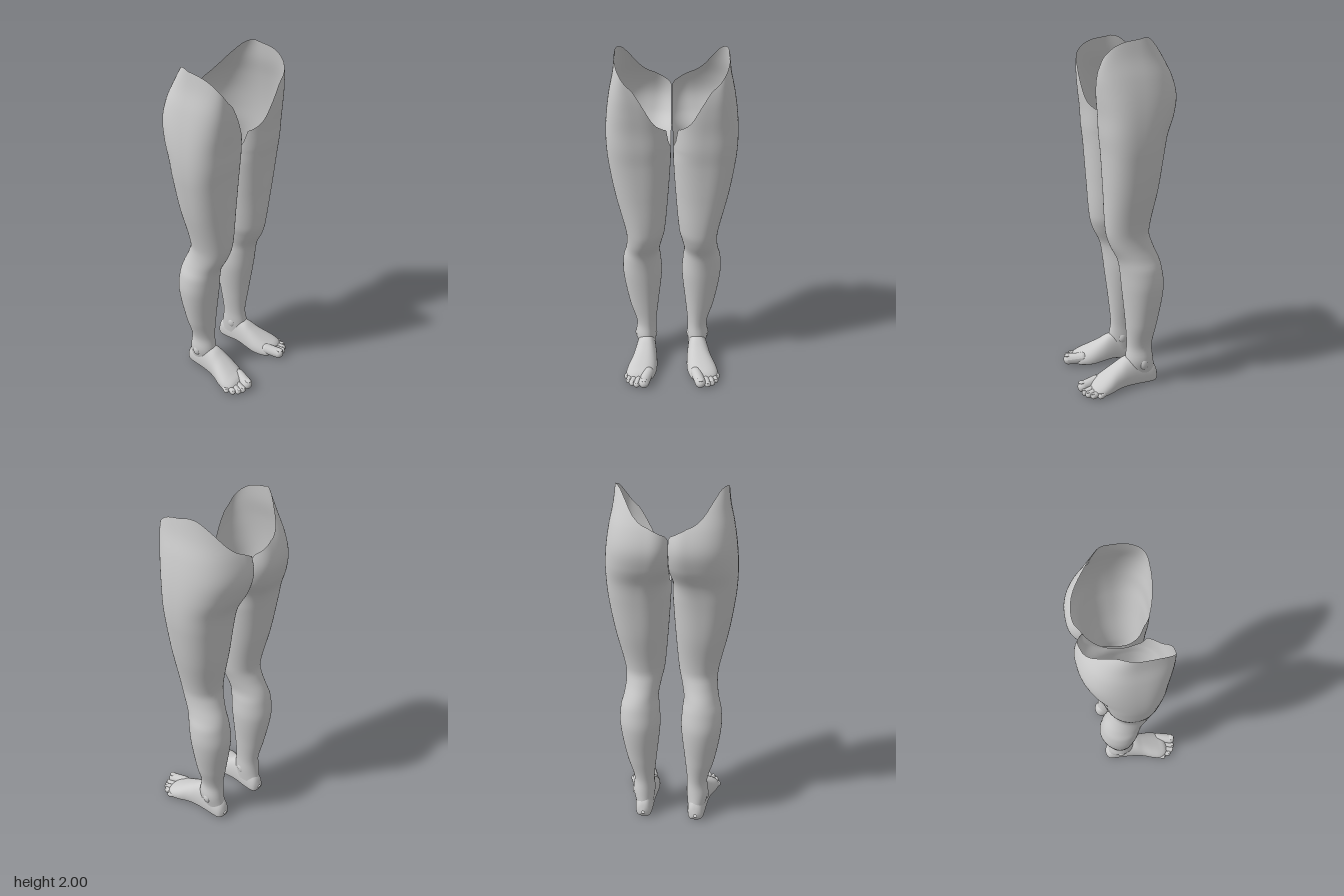
import * as THREE from 'three';

// Leg outline by height: y, inner x, outer x, front z, back z, x of front, x of back, z of sides
const LEG = [
  [0.08, 0.105, 0.215, -0.01, -0.19, 0.16, 0.16, -0.1],
  [0.16, 0.1, 0.23, -0.01, -0.178, 0.16, 0.165, -0.1],
  [0.25, 0.1, 0.222, -0.02, -0.17, 0.155, 0.16, -0.1],
  [0.4, 0.085, 0.262, -0.01, -0.195, 0.16, 0.17, -0.1],
  [0.62, 0.062, 0.297, 0.015, -0.226, 0.17, 0.18, -0.1],
  [0.74, 0.068, 0.292, 0.03, -0.212, 0.175, 0.18, -0.09],
  [0.8, 0.074, 0.276, 0.045, -0.195, 0.175, 0.175, -0.07],
  [0.88, 0.06, 0.265, 0.085, -0.16, 0.17, 0.165, -0.04],
  [0.96, 0.042, 0.268, 0.107, -0.14, 0.165, 0.16, -0.02],
  [1.2, 0.02, 0.32, 0.12, -0.18, 0.175, 0.17, -0.02],
  [1.4, 0.007, 0.35, 0.13, -0.205, 0.18, 0.17, -0.02],
  [1.5, 0.004, 0.357, 0.14, -0.225, 0.18, 0.15, -0.02],
  [1.6, -0.03, 0.355, 0.145, -0.268, 0.185, 0.115, -0.02],
  [1.7, -0.04, 0.345, 0.155, -0.287, 0.195, 0.1, -0.02],
  [1.8, -0.03, 0.328, 0.16, -0.262, 0.215, 0.1, -0.02],
  [1.9, -0.01, 0.305, 0.152, -0.205, 0.24, 0.11, -0.02],
  [2.0, 0, 0.292, 0.12, -0.13, 0.25, 0.14, -0.02],
];

// Open waist edge: angle (0 outer, 90 back, 180 inner, 270 front), height
const RIM = [
  [0, 1.99], [20, 2], [45, 1.985], [60, 1.94], [75, 1.87], [90, 1.82], [110, 1.79],
  [130, 1.76], [140, 1.69], [150, 1.57], [165, 1.51], [180, 1.48], [195, 1.5],
  [207, 1.54], [214, 1.6], [222, 1.61], [240, 1.64], [250, 1.68], [260, 1.76],
  [270, 1.86], [300, 1.93], [330, 1.97], [360, 1.99],
];

// Foot outline from heel to ball: z, inner x, outer x, top y, sole y
const FOOT = [
  [-0.207, 0.15, 0.17, 0.055, 0.04],
  [-0.2, 0.13, 0.19, 0.085, 0.016],
  [-0.18, 0.115, 0.205, 0.12, 0.006],
  [-0.13, 0.108, 0.215, 0.16, 0.004],
  [-0.06, 0.104, 0.225, 0.185, 0.006],
  [0, 0.098, 0.236, 0.175, 0.008],
  [0.05, 0.094, 0.25, 0.145, 0.008],
  [0.11, 0.094, 0.275, 0.11, 0.004],
  [0.16, 0.105, 0.285, 0.083, 0.004],
  [0.2, 0.125, 0.27, 0.062, 0.008],
  [0.22, 0.16, 0.235, 0.04, 0.02],
];

// Toes: base x, base z, tip x, tip z, radius
const TOES = [
  [0.148, 0.17, 0.172, 0.252, 0.033],
  [0.198, 0.18, 0.217, 0.253, 0.02],
  [0.222, 0.17, 0.245, 0.24, 0.019],
  [0.242, 0.15, 0.267, 0.216, 0.018],
  [0.258, 0.13, 0.28, 0.177, 0.017],
];

// Smooth interpolation of table rows by their first column
function sample(rows, t) {
  let i = 0;
  while (i < rows.length - 2 && t > rows[i + 1][0]) i++;
  const a = rows[i], b = rows[i + 1];
  const p = rows[Math.max(i - 1, 0)], q = rows[Math.min(i + 2, rows.length - 1)];
  const h = b[0] - a[0], s = THREE.MathUtils.clamp((t - a[0]) / h, 0, 1);
  return a.map((_, k) => {
    const m0 = (b[k] - p[k]) / (b[0] - p[0]) * h, m1 = (q[k] - a[k]) / (q[0] - a[0]) * h;
    const d = b[k] - a[k];
    return a[k] + s * (m0 + s * (3 * d - 2 * m0 - m1 + s * (m0 + m1 - 2 * d)));
  });
}

// Tube of nv + 1 rings, each closed with nu points
function loft(nu, nv, point) {
  const pos = [], index = [];
  for (let j = 0; j <= nv; j++) for (let i = 0; i < nu; i++) pos.push(...point(i / nu, j / nv));
  for (let j = 0; j < nv; j++) {
    for (let i = 0; i < nu; i++) {
      const a = j * nu + i, b = j * nu + (i + 1) % nu;
      index.push(a, b, b + nu, a, b + nu, a + nu);
    }
  }
  const geo = new THREE.BufferGeometry();
  geo.setAttribute('position', new THREE.Float32BufferAttribute(pos, 3));
  geo.setIndex(index);
  geo.computeVertexNormals();
  return geo;
}

function mirrored(geo) {
  const g = geo.clone().scale(-1, 1, 1), ix = g.index.array;
  for (let i = 0; i < ix.length; i += 3) [ix[i], ix[i + 1]] = [ix[i + 1], ix[i]];
  g.computeVertexNormals();
  return g;
}

function legPoint(u, v) {
  const deg = u * 360, ang = u * Math.PI * 2, split = 0.68;
  const y = v < split ? 0.08 + 1.32 * v / split
    : THREE.MathUtils.lerp(1.4, sample(RIM, deg)[1], (v - split) / (1 - split));
  const [, xin, xout, zf, zb, xf, xb, zm] = sample(LEG, y);
  const c = Math.cos(ang), s = Math.sin(ang), back = s >= 0;
  const power = THREE.MathUtils.lerp(1, 0.8, THREE.MathUtils.smoothstep(y, 0.8, 1.6));
  const mid = back ? xb : xf;
  const side = c > 0 ? xout : back ? xin : Math.max(xin, 0.006);
  const x = mid + (side - mid) * Math.abs(c) ** power;
  const z = zm + ((back ? zb : zf) - zm) * Math.abs(s) ** power;
  return [Math.max(x, 0.001), y, z]; // the buttocks press flat at the centre
}

function footPoint(u, v) {
  const [z, xin, xout, top, sole] = sample(FOOT, -0.207 + 0.427 * v);
  const ang = u * Math.PI * 2, c = Math.cos(ang), s = Math.sin(ang);
  const ridge = xin + 0.42 * (xout - xin), mid = sole + 0.3 * (top - sole);
  const x = ridge + ((c > 0 ? xout : xin) - ridge) * Math.abs(c) ** 0.85;
  const arch = c < 0 ? 0.022 * -c * Math.exp(-(((z + 0.02) / 0.07) ** 2)) : 0;
  const y = s > 0 ? mid + (top - mid) * s : mid - (mid - sole) * Math.abs(s) ** 0.5 + arch * -s;
  return [x, y, z];
}

function toeGeometry([x0, z0, x1, z1, r]) {
  const from = new THREE.Vector3(x0, r + 0.014, z0), to = new THREE.Vector3(x1, r + 0.003, z1);
  const dir = to.clone().sub(from), length = dir.length();
  const geo = new THREE.CapsuleGeometry(r, length, 8, 16);
  geo.applyQuaternion(new THREE.Quaternion().setFromUnitVectors(new THREE.Vector3(0, 1, 0), dir.normalize()));
  const mid = from.add(to).multiplyScalar(0.5);
  return geo.translate(mid.x, mid.y, mid.z);
}

const ellipsoid = (rx, ry, rz, x, y, z) =>
  new THREE.SphereGeometry(1, 18, 12).scale(rx, ry, rz).translate(x, y, z);

export function createModel() {
  const model = new THREE.Group();
  model.name = 'legs';
  const skin = new THREE.MeshStandardMaterial({ color: 0xcccccc, side: THREE.DoubleSide });
  skin.name = 'light grey';

  const left = new THREE.Group(), right = new THREE.Group();
  left.name = 'leftLeg';
  right.name = 'rightLeg';
  model.add(left, right);

  const add = (name, geo) => {
    for (const [group, g] of [[left, geo], [right, mirrored(geo)]]) {
      const mesh = new THREE.Mesh(g, skin);
      mesh.name = name;
      group.add(mesh);
    }
  };

  add('legAndHip', loft(96, 100, legPoint));
  add('foot', loft(40, 48, footPoint));

  // Ankle bones
  add('outerAnkle', ellipsoid(0.02, 0.035, 0.026, 0.216, 0.145, -0.105));
  add('innerAnkle', ellipsoid(0.018, 0.035, 0.026, 0.113, 0.16, -0.085));

  // Toes with slightly raised nails
  TOES.forEach((toe, i) => {
    const [, , x, z, r] = toe;
    add('toe' + (i + 1), toeGeometry(toe));
    add('toenail' + (i + 1), ellipsoid(r * 0.55, r * 0.2, r * 0.6, x, r * 1.86 + 0.003, z + r * 0.3));
  });

  return model;
}
